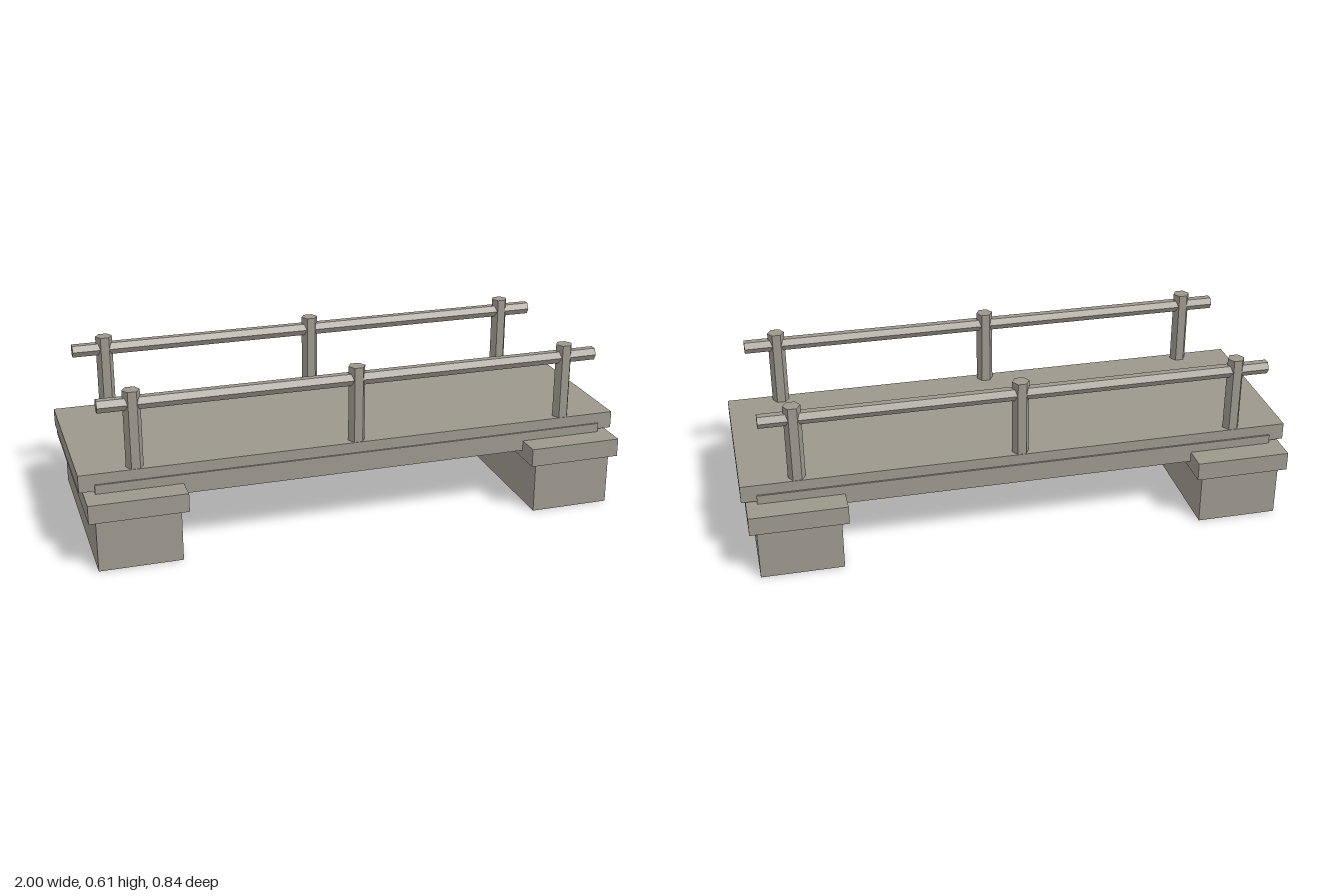
import * as THREE from 'three';

export function createModel() {
  const bridge = new THREE.Group();
  bridge.name = 'footbridge';

  const stone = new THREE.MeshStandardMaterial({ color: 0x9b978c });
  stone.name = 'greyStone';

  const add = (name, geometry, x, y, z) => {
    const mesh = new THREE.Mesh(geometry, stone);
    mesh.name = name;
    mesh.position.set(x, y, z);
    bridge.add(mesh);
  };

  // Box given by its centre in x and z, and its bottom and top in y
  const box = (name, width, bottom, top, depth, x = 0, z = 0) =>
    add(name, new THREE.BoxGeometry(width, top - bottom, depth), x, (bottom + top) / 2, z);

  // Hexagonal bar with hard facets
  const hexBar = (radius, length) => {
    const bar = new THREE.CylinderGeometry(radius, radius, length, 6).toNonIndexed();
    bar.computeVertexNormals();
    return bar;
  };

  // Walking slab
  box('deck', 2, 0.267, 0.33, 0.65);

  // Abutments with overhanging caps
  for (const side of [-1, 1]) {
    box('abutment', 0.296, 0, 0.19, 0.8, side * 0.811);
    box('abutmentCap', 0.346, 0.19, 0.258, 0.84, side * 0.812);
  }

  // Girders and railings along both edges
  for (const side of [-1, 1]) {
    box('girder', 1.89, 0.22, 0.291, 0.073, 0, side * 0.295);

    for (const x of [-0.8, 0, 0.8]) {
      add('railPost', hexBar(0.031, 0.28).rotateY(Math.PI / 6), x, 0.47, side * 0.296);
    }
    add('handrail', hexBar(0.025, 1.84).rotateZ(Math.PI / 2), 0, 0.563, side * 0.296);
  }

  return bridge;
}
